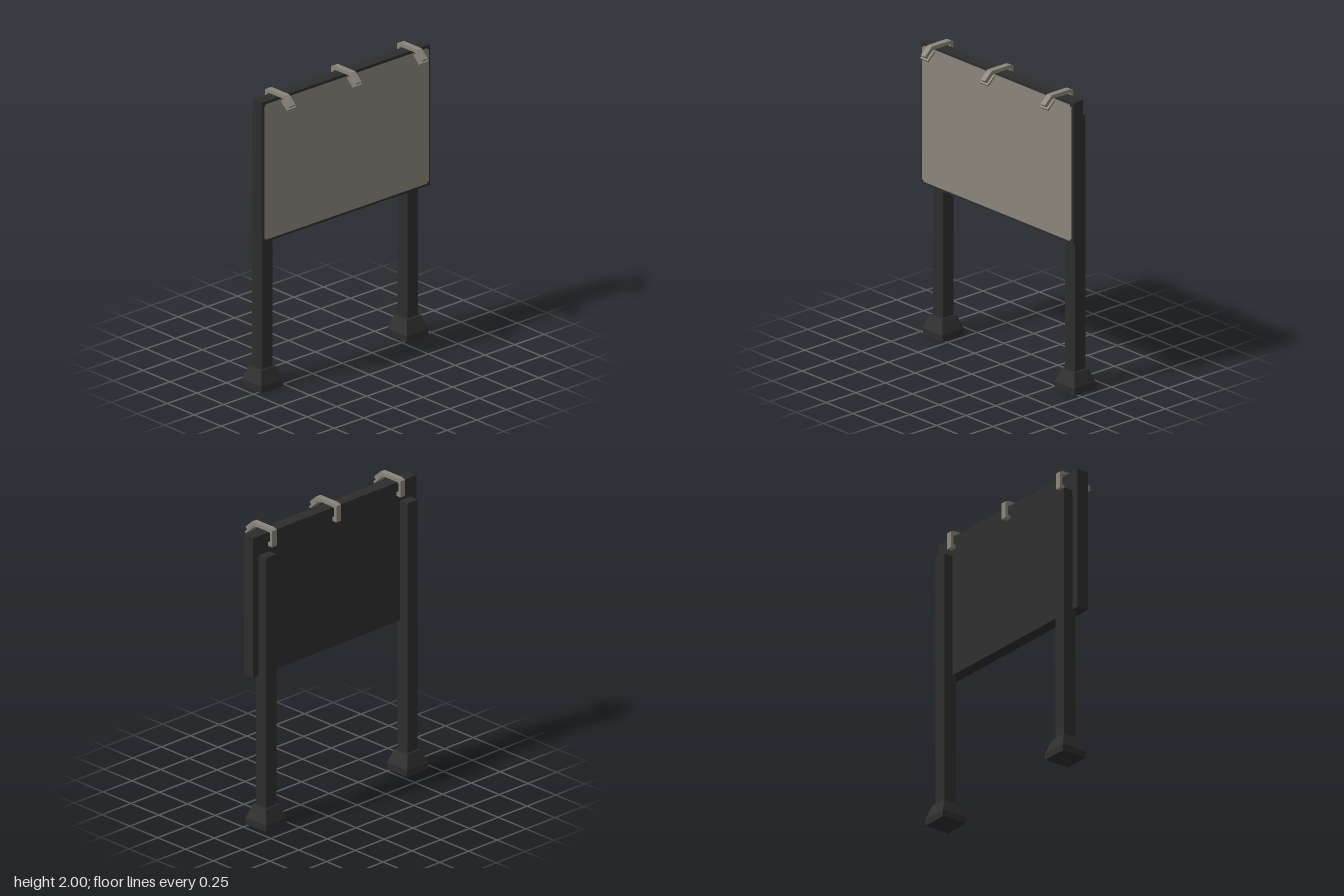
import * as THREE from 'three';

const dark = new THREE.MeshStandardMaterial({ color: 0x2d2d2d });
dark.name = 'dark metal';
const grey = new THREE.MeshStandardMaterial({ color: 0x8a857b });
grey.name = 'warm grey';

function add(parent, name, geometry, material, x = 0, y = 0, z = 0) {
  const mesh = new THREE.Mesh(geometry, material);
  mesh.name = name;
  mesh.position.set(x, y, z);
  parent.add(mesh);
  return mesh;
}

// Side profile given as [z, y] points, extruded to a width centred on x = 0
function sideExtrude(points, width) {
  const shape = new THREE.Shape(points.map(([z, y]) => new THREE.Vector2(-z, y)));
  return new THREE.ExtrudeGeometry(shape, { depth: width, bevelEnabled: false })
    .translate(0, 0, -width / 2).rotateY(Math.PI / 2);
}

// Square frustum from y = 0 to y = h
function frustum(bottom, top, h) {
  const g = new THREE.BoxGeometry(bottom, h, bottom).translate(0, h / 2, 0);
  const p = g.attributes.position;
  for (let i = 0; i < p.count; i++) {
    if (p.getY(i) > h / 2) {
      p.setX(i, p.getX(i) * top / bottom);
      p.setZ(i, p.getZ(i) * top / bottom);
    }
  }
  g.computeVertexNormals();
  return g;
}

export function createModel() {
  const model = new THREE.Group();
  model.name = 'billboard';

  // Board with its display sheet, notched at the corners
  add(model, 'board', new THREE.BoxGeometry(1.42, 0.95, 0.081), dark, 0, 1.495, -0.0055);
  const w = 0.695, h = 0.458, n = 0.012;
  const sheet = new THREE.Shape([
    [-w + n, -h], [w - n, -h], [w - n, -h + n], [w, -h + n],
    [w, h - n], [w - n, h - n], [w - n, h], [-w + n, h],
    [-w + n, h - n], [-w, h - n], [-w, -h + n], [-w + n, -h + n],
  ].map(([x, y]) => new THREE.Vector2(x, y)));
  add(model, 'displaySheet',
    new THREE.ExtrudeGeometry(sheet, { depth: 0.005, bevelEnabled: false }),
    [grey, dark], 0, 1.495, 0.035);

  // Posts on tapered feet
  for (const side of [-1, 1]) {
    const leg = new THREE.Group();
    leg.name = side > 0 ? 'leftLeg' : 'rightLeg';
    leg.position.set(side * 0.614, 0, -0.067);
    add(leg, 'post', new THREE.BoxGeometry(0.09, 1.74, 0.09), dark, 0, 0.97, 0);
    add(leg, 'footBase', new THREE.BoxGeometry(0.182, 0.045, 0.182), dark, 0, 0.0225, 0);
    add(leg, 'footTaper', frustum(0.182, 0.118, 0.09), dark, 0, 0.045, 0);
    model.add(leg);
  }

  // Lamps: an arm hooked over the top edge, with a slanted head in front
  const armShape = [
    [-0.045, 1.88], [-0.083, 1.88], [-0.083, 1.99], [-0.06, 2.0], [0.1, 2.0],
    [0.157, 1.948], [0.14, 1.93], [0.088, 1.976], [-0.052, 1.976],
    [-0.062, 1.97], [-0.062, 1.905], [-0.045, 1.905],
  ];
  const headShape = [[0.09, 1.974], [0.148, 1.922], [0.14, 1.911], [0.083, 1.963]];
  for (const x of [-0.558, 0, 0.558]) {
    const lamp = new THREE.Group();
    lamp.name = 'lamp';
    lamp.position.x = x;
    add(lamp, 'lampArm', sideExtrude(armShape, 0.04), grey);
    add(lamp, 'lampHead', sideExtrude(headShape, 0.07), grey);
    model.add(lamp);
  }
  return model;
}
